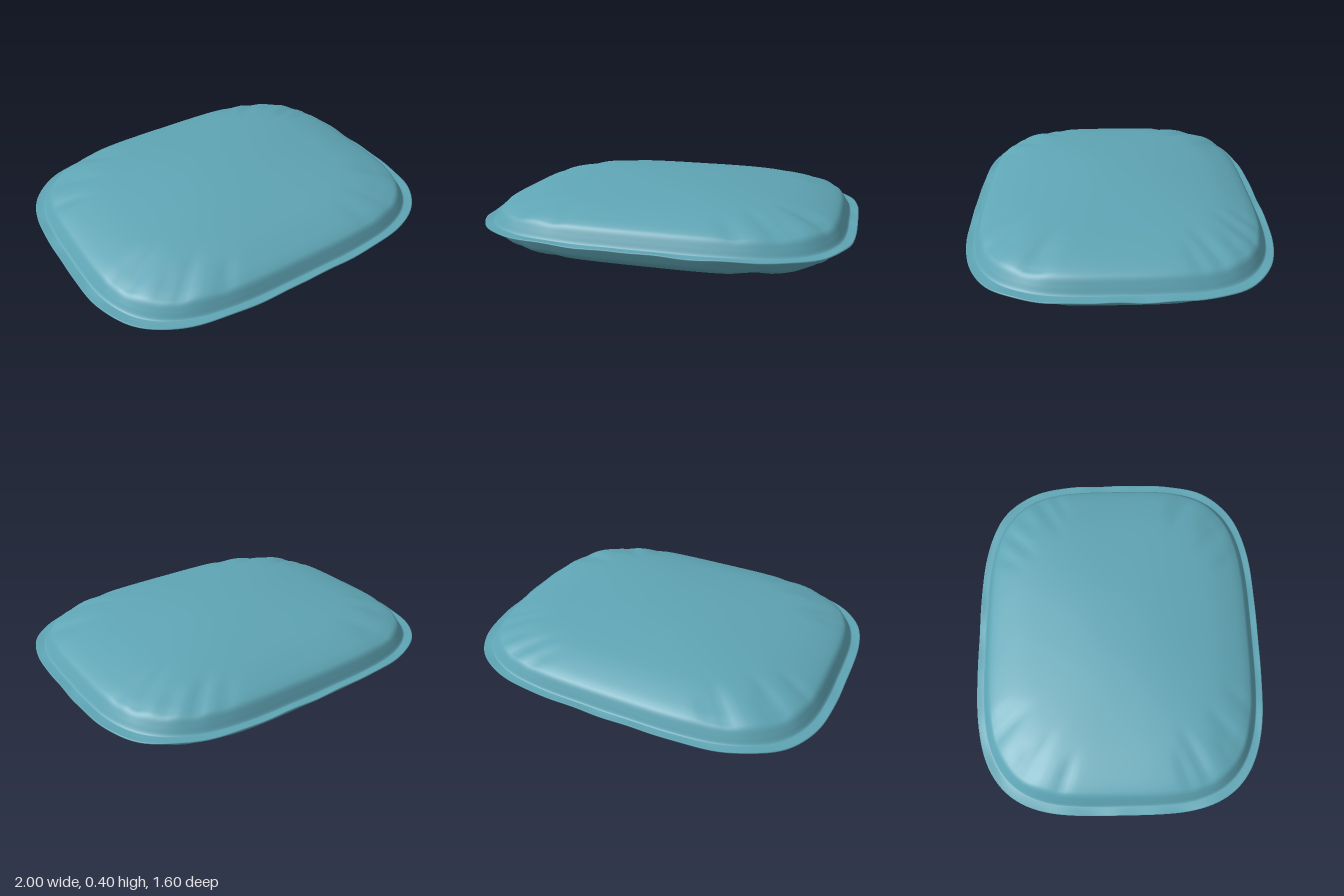
import * as THREE from 'three';

const HALF_X = 1, HALF_Z = 0.8, MID_Y = 0.2, SIDES = 192;

// Half profile of the cushion: relative radius, height above the seam
const PROFILE = [
  [0, 0.2], [0.2, 0.196], [0.4, 0.182], [0.6, 0.16], [0.72, 0.14], [0.82, 0.115],
  [0.88, 0.094], [0.91, 0.075], [0.932, 0.04], [0.95, 0.009], [0.965, 0.004], [1, 0.003],
].map(([r, h]) => new THREE.Vector2(r, h));

// Pulled-cloth creases in each corner: angle in degrees from the x axis, depth, start radius
const CREASES = [[27, 0.008, 0.66], [35, 0.012, 0.58], [44, 0.008, 0.7], [52, 0.012, 0.6], [61, 0.007, 0.68]];

function creaseDepth(angle, r, side) {
  let depth = 0;
  for (let q = 0; q < 4; q++) {
    CREASES.forEach(([deg, amount, start], k) => {
      const local = q % 2 ? 90 - deg : deg;
      const centre = THREE.MathUtils.degToRad(local + q * 90 + Math.sin(q * 5 + k * 3 + side) * 2.5);
      const d = Math.atan2(Math.sin(angle - centre), Math.cos(angle - centre)) / 0.045;
      const fade = THREE.MathUtils.smoothstep(r, start, 0.83) * (1 - THREE.MathUtils.smoothstep(r, 0.88, 0.95));
      depth += amount * fade * Math.exp(-d * d);
    });
  }
  return depth;
}

function cushionGeometry() {
  const half = new THREE.SplineCurve(PROFILE).getPoints(55);
  // Top from centre to rim, then underside from rim to centre
  const rings = [
    ...half.map((p) => [p.x, p.y, 1]),
    ...half.slice().reverse().map((p) => [p.x, p.y, -1]),
  ];
  const positions = [], indices = [];
  rings.forEach(([r, h, side], i) => {
    // Rings go from round in the middle to a soft rectangle at the rim
    const n = THREE.MathUtils.lerp(2, 3.6, THREE.MathUtils.smoothstep(r, 0, 0.8));
    for (let j = 0; j < SIDES; j++) {
      const a = (j / SIDES) * Math.PI * 2;
      const c = Math.cos(a), s = Math.sin(a);
      const k = r * Math.pow(Math.abs(c) ** n + Math.abs(s) ** n, -1 / n);
      const ripple = 0.003 * THREE.MathUtils.smoothstep(r, 0.94, 1) * (Math.sin(a * 13) + Math.sin(a * 22 + 1)) * 0.7;
      const y = MID_Y + ripple + side * (h - creaseDepth(a, r, side));
      positions.push(HALF_X * k * c, y, HALF_Z * k * s);
      if (i < rings.length - 1) {
        const p = i * SIDES + j, q = i * SIDES + ((j + 1) % SIDES);
        if (i > 0) indices.push(p, q, q + SIDES);
        if (i < rings.length - 2) indices.push(p, q + SIDES, p + SIDES);
        if (i === 0) indices.pop(), indices.pop(), indices.pop(), indices.push(p, q + SIDES, p + SIDES);
      }
    }
  });
  const geometry = new THREE.BufferGeometry();
  geometry.setAttribute('position', new THREE.Float32BufferAttribute(positions, 3));
  geometry.setIndex(indices);
  geometry.computeVertexNormals();
  return geometry;
}

export function createModel() {
  const group = new THREE.Group();
  group.name = 'cushion';
  const fabric = new THREE.MeshStandardMaterial({ color: 0x5fa5b5 });
  const cover = new THREE.Mesh(cushionGeometry(), fabric);
  cover.name = 'cushionCover';
  group.add(cover);
  return group;
}
